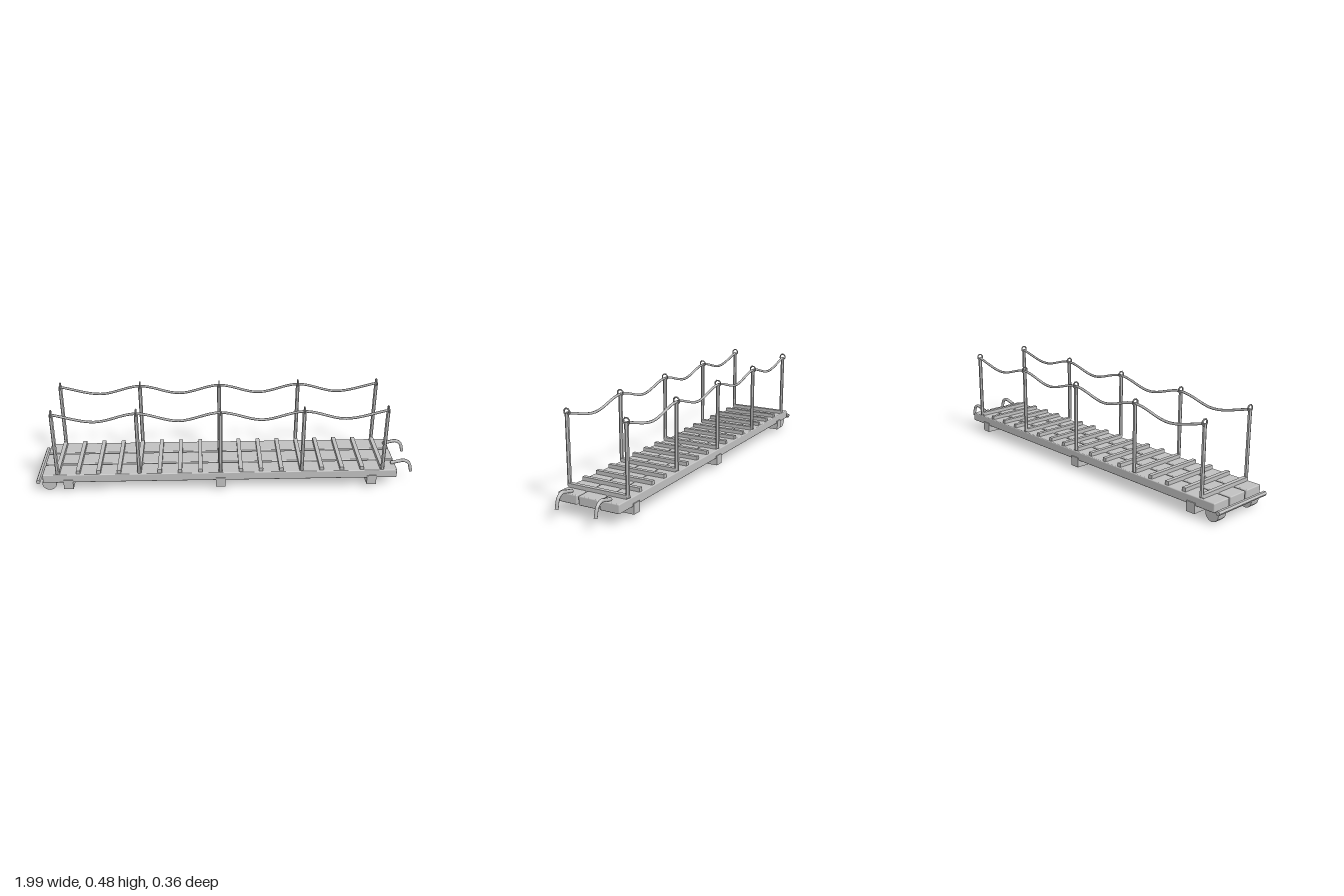
import * as THREE from 'three';
import { RoundedBoxGeometry } from 'three/addons/geometries/RoundedBoxGeometry.js';

export function createModel() {
  const model = new THREE.Group();
  model.name = 'gangway';

  const grey = new THREE.MeshStandardMaterial({ color: 0xc0c0c0 });
  grey.name = 'plain grey';

  const add = (name, geometry, x = 0, y = 0, z = 0) => {
    const mesh = new THREE.Mesh(geometry, grey);
    mesh.name = name;
    mesh.position.set(x, y, z);
    model.add(mesh);
    return mesh;
  };
  // Faceted copy of a geometry, with hard edges
  const faceted = (geometry) => {
    const flat = geometry.toNonIndexed();
    flat.computeVertexNormals();
    return flat;
  };

  const firstPost = -0.885, bay = 0.425, bays = 4, railZ = 0.161;

  // Three long deck planks with softened edges
  for (const z of [-0.115, 0, 0.115]) {
    add('deckPlank', new RoundedBoxGeometry(1.86, 0.046, 0.106, 2, 0.005), -0.035, 0.08, z);
  }

  // Beams under the deck
  for (const x of [-0.832, -0.035, 0.762]) {
    add('crossBeam', new THREE.BoxGeometry(0.05, 0.052, 0.346), x, 0.046, 0);
  }

  // Foot cleats, four to each railing bay
  for (let i = 0; i <= bays * 4; i++) {
    add('footCleat', new THREE.BoxGeometry(0.021, 0.024, 0.32), firstPost + (i * bay) / 4, 0.11, 0);
  }

  // Railings: posts, rope eyes and a sagging rope on each side
  const postGeometry = faceted(new THREE.CylinderGeometry(0.01, 0.01, 0.347, 6).rotateY(Math.PI / 6));
  const eyeGeometry = faceted(new THREE.TorusGeometry(0.0165, 0.004, 6, 8)
    .rotateZ(Math.PI / 8).rotateY(Math.PI / 2));
  for (const side of [1, -1]) {
    const ropePoints = [];
    for (let i = 0; i <= bays; i++) {
      const x = firstPost + i * bay;
      add('railPost', postGeometry, x, 0.281, side * railZ);
      add('ropeEye', eyeGeometry, x, 0.459, side * railZ);
      ropePoints.push(new THREE.Vector3(x, 0.453, side * railZ));
      if (i < bays) ropePoints.push(new THREE.Vector3(x + bay / 2, 0.409, side * railZ));
    }
    const ropeCurve = new THREE.CatmullRomCurve3(ropePoints);
    add('handRope', new THREE.TubeGeometry(ropeCurve, 64, 0.0065, 6));
  }

  // Curved hooks at one end
  for (const z of [0.106, -0.106]) {
    const hookCurve = new THREE.CatmullRomCurve3([
      [0.87, 0.11], [0.905, 0.118], [0.94, 0.124], [0.968, 0.108], [0.984, 0.058],
    ].map(([x, y]) => new THREE.Vector3(x, y, z)));
    add('hook', new THREE.TubeGeometry(hookCurve, 16, 0.009, 6));
    // Closed hook ends
    for (const t of [0, 1]) {
      const cap = add('hookEnd', new THREE.CircleGeometry(0.009, 6));
      const outward = hookCurve.getTangentAt(t).multiplyScalar(t ? 1 : -1);
      cap.position.copy(hookCurve.getPointAt(t));
      cap.quaternion.setFromUnitVectors(new THREE.Vector3(0, 0, 1), outward);
    }
  }

  // Rollers at the other end
  const rollerGeometry = faceted(new THREE.CylinderGeometry(0.038, 0.038, 0.053, 12).rotateX(Math.PI / 2));
  for (const z of [0.12, -0.12]) add('roller', rollerGeometry, -0.936, 0.038, z);

  // Round bar across the roller end
  add('endBar', faceted(new THREE.CylinderGeometry(0.012, 0.012, 0.344, 6)
    .rotateY(Math.PI / 6).rotateX(Math.PI / 2)), -0.988, 0.065, 0);

  return model;
}
